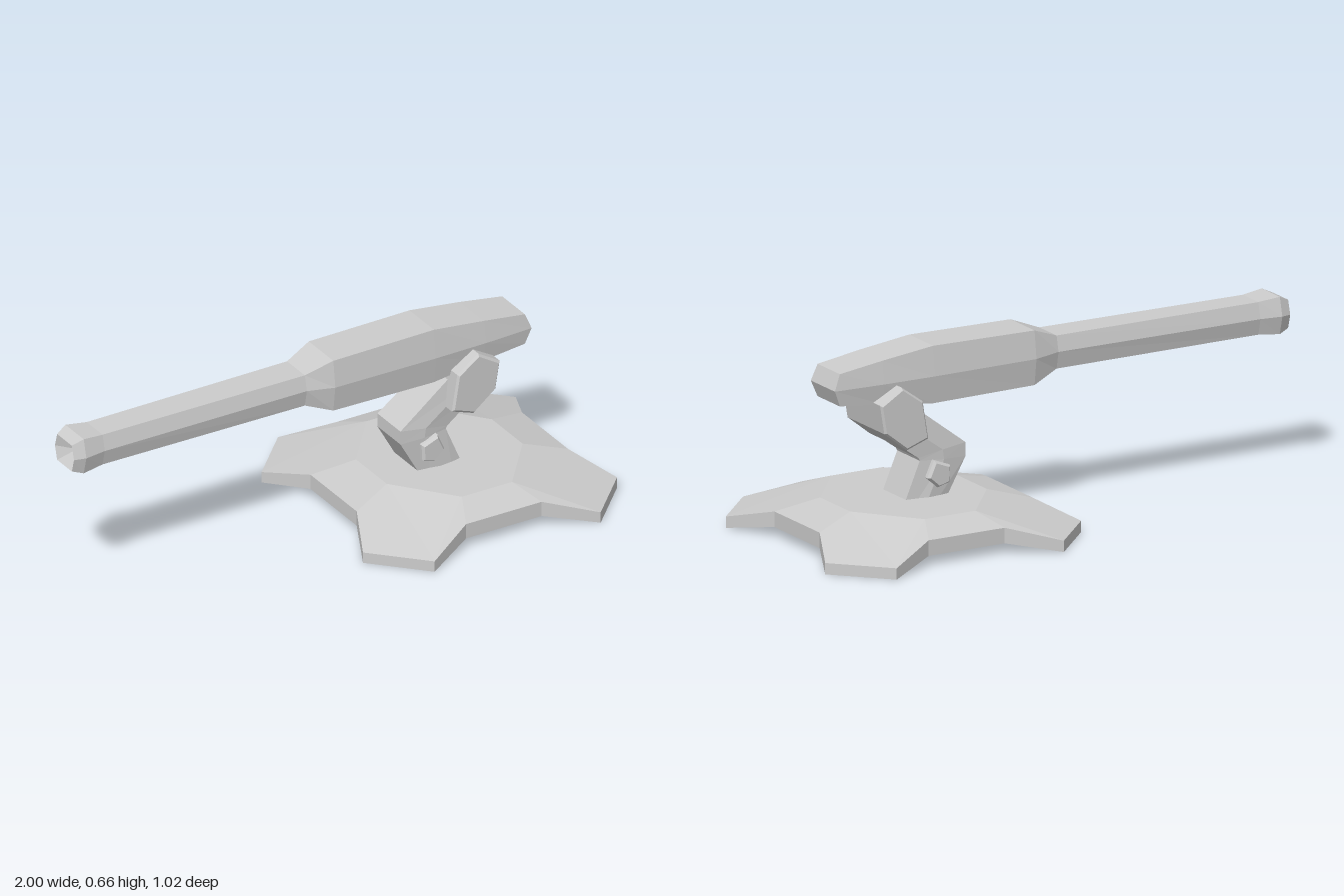
import * as THREE from 'three';

// Skin a list of equal-length rings; start/end are optional cap centre points.
function loft(rings, start, end) {
  const tris = [];
  const n = rings[0].length;
  for (let r = 0; r < rings.length - 1; r++) {
    for (let i = 0; i < n; i++) {
      const j = (i + 1) % n;
      const [a, b, c, d] = [rings[r][i], rings[r][j], rings[r + 1][j], rings[r + 1][i]];
      tris.push([a, b, c], [a, c, d]);
    }
  }
  const last = rings[rings.length - 1];
  for (let i = 0; i < n; i++) {
    const j = (i + 1) % n;
    if (start) tris.push([start, rings[0][j], rings[0][i]]);
    if (end) tris.push([end, last[i], last[j]]);
  }
  // Turn every face outward using the sign of the enclosed volume
  const v = (p) => new THREE.Vector3(...p);
  const volume = tris.reduce((s, [a, b, c]) => s + v(a).dot(v(b).cross(v(c))), 0);
  if (volume < 0) tris.forEach((t) => t.reverse());
  const geo = new THREE.BufferGeometry();
  geo.setAttribute('position', new THREE.Float32BufferAttribute(tris.flat(2), 3));
  geo.computeVertexNormals();
  return geo;
}

const centre = (ring) => [0, 1, 2].map((k) => ring.reduce((s, p) => s + p[k], 0) / ring.length);

// Six-sided section across z: edge points a and b, and a wider ridge point m
const hexRing = (a, m, b, w, wm) => [
  [...a, -w], [...a, w], [...m, wm], [...b, w], [...b, -w], [...m, -wm],
];

// Polygon in the xy plane, scaled about its middle and placed at depth z
function polyRing(points, z, scale) {
  const c = centre(points.map((p) => [...p, 0]));
  return points.map(([x, y]) => [c[0] + (x - c[0]) * scale, c[1] + (y - c[1]) * scale, z]);
}

export function createModel() {
  const model = new THREE.Group();
  const grey = new THREE.MeshStandardMaterial({ color: 0xcccccc, flatShading: true });
  const shell = new THREE.MeshStandardMaterial({
    color: 0xcccccc, flatShading: true, side: THREE.DoubleSide,
  });
  const add = (name, geo, mat = grey) => {
    const mesh = new THREE.Mesh(geo, mat);
    mesh.name = name;
    model.add(mesh);
  };

  // Four-footed base: open shell with a raised octagonal plateau
  const cx = 0.49;
  const quarter = [ // rim x, rim z, rim bottom y, rim top y, plateau x, plateau z
    [0.42, 0.15, 0.035, 0.09, 0.27, 0.10],
    [0.505, 0.33, 0, 0.04, 0.27, 0.10],
    [0.33, 0.51, 0, 0.04, 0.10, 0.31],
    [0.15, 0.42, 0.035, 0.09, 0.10, 0.31],
  ];
  const rim = [];
  [[1, 1], [-1, 1], [-1, -1], [1, -1]].forEach(([sx, sz]) => {
    const pts = sx * sz > 0 ? quarter : [...quarter].reverse();
    pts.forEach(([x, z, lo, hi, px, pz]) => rim.push([x * sx, z * sz, lo, hi, px * sx, pz * sz]));
  });
  add('base', loft([
    rim.map(([x, z, lo]) => [cx + x, lo, z]),
    rim.map(([x, z, , hi]) => [cx + x, hi, z]),
    rim.map(([, , , , px, pz]) => [cx + px, 0.13, pz]),
  ], null, [cx, 0.13, 0]), shell);

  // Bent support arm, rising back from the base and then forward to the joint
  const arm = [
    hexRing([0.43, 0], [0.505, 0], [0.58, 0], 0.075, 0.09),
    hexRing([0.29, 0.25], [0.38, 0.255], [0.47, 0.26], 0.075, 0.085),
    hexRing([0.29, 0.30], [0.385, 0.29], [0.475, 0.27], 0.075, 0.085),
    hexRing([0.50, 0.46], [0.55, 0.41], [0.60, 0.36], 0.07, 0.08),
  ];
  add('supportArm', loft(arm, centre(arm[0]), centre(arm[3])));

  // Pentagonal pivot bolts on both sides of the elbow
  const bolt = [[0.425, 0.26], [0.452, 0.20], [0.41, 0.162], [0.365, 0.175], [0.362, 0.235]];
  for (const side of [1, -1]) {
    const rings = [
      polyRing(bolt, side * 0.06, 1),
      polyRing(bolt, side * 0.094, 1),
      polyRing(bolt, side * 0.104, 0.82),
    ];
    add(side > 0 ? 'frontPivotBolt' : 'backPivotBolt', loft(rings, centre(rings[0]), centre(rings[2])));
  }

  // Wide joint block under the body
  const block = [
    [0.57, 0.545], [0.655, 0.493], [0.638, 0.39], [0.55, 0.32], [0.465, 0.35], [0.487, 0.485],
  ];
  const joint = [[-0.13, 0.92], [-0.122, 1], [0.122, 1], [0.13, 0.92]]
    .map(([z, s]) => polyRing(block, z, s));
  add('jointBlock', loft(joint, centre(joint[0]), centre(joint[3])));

  // Body and barrel: x, top, ridge, bottom, half width, ridge half width
  const body = [
    [-1.0, 0.605, 0.555, 0.505, 0.048, 0.062],
    [-0.96, 0.624, 0.558, 0.492, 0.06, 0.077],
    [-0.88, 0.615, 0.558, 0.50, 0.052, 0.066],
    [-0.08, 0.617, 0.562, 0.50, 0.058, 0.071],
    [0.02, 0.655, 0.557, 0.462, 0.08, 0.093],
    [0.42, 0.66, 0.555, 0.457, 0.08, 0.093],
    [0.62, 0.636, 0.555, 0.483, 0.078, 0.09],
    [0.785, 0.612, 0.555, 0.498, 0.074, 0.08],
  ].map(([x, top, mid, low, w, wm], i) => hexRing(
    [x, top], [i === 7 ? 0.808 : x, mid], [x, low], w, wm));
  // The muzzle cap point is sunk inward for a shallow recess
  add('bodyAndBarrel', loft(body, [-0.95, 0.555, 0], [0.808, 0.555, 0]));

  return model;
}
